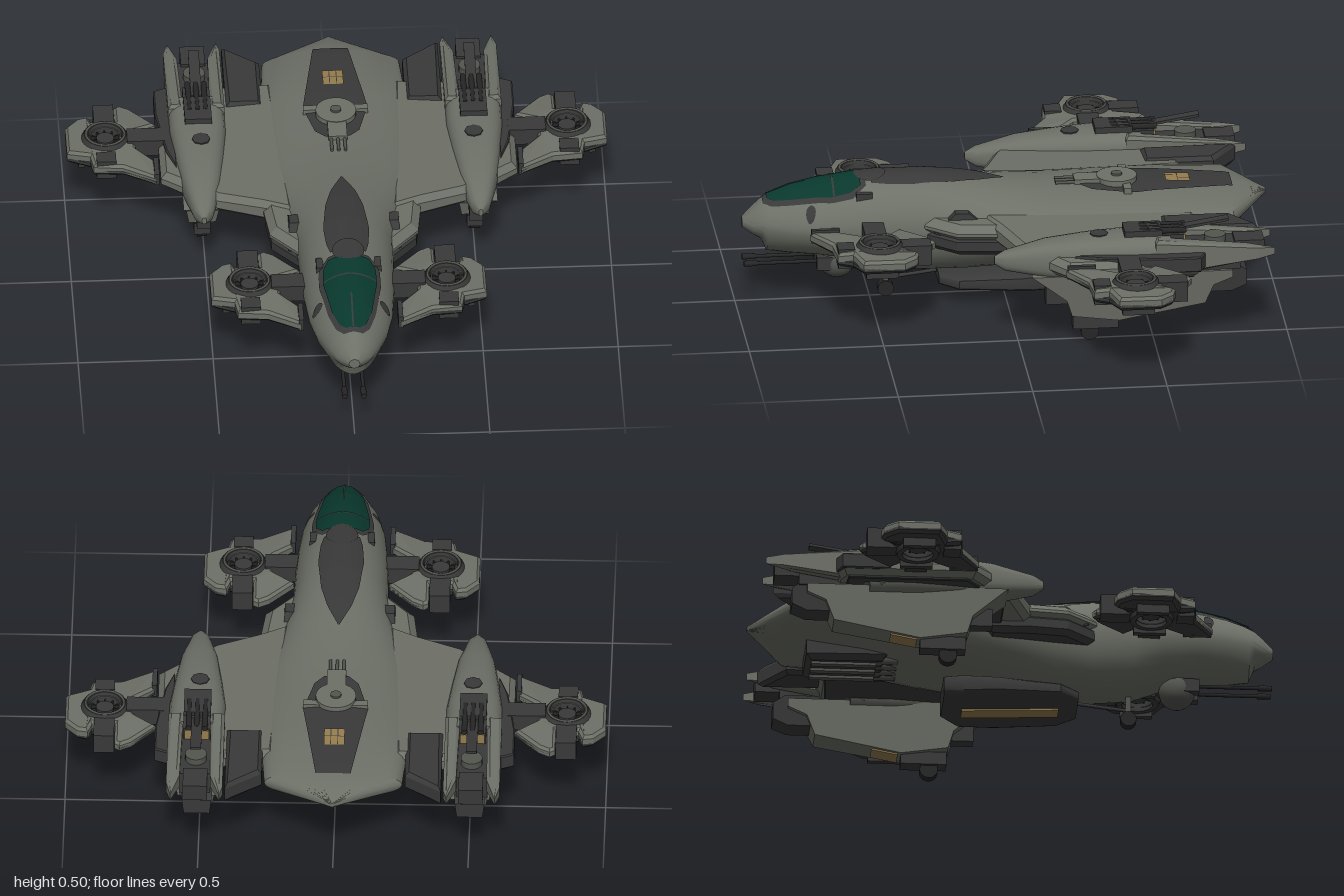
import * as THREE from 'three';
import { toCreasedNormals } from 'three/addons/utils/BufferGeometryUtils.js';

const paint = (name, color, side = THREE.FrontSide) => Object.assign(new THREE.MeshStandardMaterial({ color, side }), { name });

// hull cross-sections: z, half width, bottom, widest height, top, squareness
const HULL = [
  [0.975, 0.02, 0.295, 0.315, 0.335, 2], [0.94, 0.06, 0.27, 0.315, 0.37, 1.8], [0.905, 0.085, 0.25, 0.32, 0.402, 1.7],
  [0.885, 0.095, 0.2, 0.32, 0.412, 1.7], [0.8, 0.132, 0.19, 0.32, 0.444, 1.7], [0.7, 0.155, 0.18, 0.32, 0.466, 1.7],
  [0.56, 0.168, 0.16, 0.32, 0.484, 1.8], [0.45, 0.173, 0.12, 0.32, 0.487, 2], [0.3, 0.178, 0.11, 0.31, 0.485, 2.1],
  [0.15, 0.2, 0.11, 0.31, 0.468, 2], [0, 0.235, 0.12, 0.32, 0.445, 1.9], [-0.17, 0.265, 0.14, 0.33, 0.425, 1.9],
  [-0.35, 0.275, 0.18, 0.335, 0.42, 1.9], [-0.55, 0.275, 0.23, 0.34, 0.42, 1.9], [-0.83, 0.255, 0.28, 0.345, 0.405, 2],
  [-0.9, 0.13, 0.31, 0.35, 0.39, 2], [-0.975, 0.004, 0.345, 0.355, 0.365, 2]];

// row of a table (sorted by falling z) interpolated at z
function rowAt(table, z) {
  let i = 0;
  while (i < table.length - 2 && table[i + 1][0] > z) i++;
  const a = table[i], b = table[i + 1], t = THREE.MathUtils.clamp((a[0] - z) / (a[0] - b[0]), 0, 1);
  return a.map((v, k) => v + (b[k] - v) * t);
}

function meshOf(pos, idx) {
  const g = new THREE.BufferGeometry();
  g.setAttribute('position', new THREE.Float32BufferAttribute(pos, 3));
  g.setIndex(idx);
  g.computeVertexNormals();
  return g;
}

// closed body from superellipse sections
function loft(rows, cx = 0, seg = 40, crease = 0.6) {
  const pos = [], idx = [], spow = (v, n) => Math.sign(v) * Math.abs(v) ** (2 / n);
  rows.forEach(([z, w, bot, mid, top, n]) => {
    for (let j = 0; j < seg; j++) {
      const a = j / seg * Math.PI * 2, s = spow(Math.sin(a), n);
      pos.push(cx + w * spow(Math.cos(a), n), mid + s * (s > 0 ? top - mid : mid - bot), z);
    }
  });
  const last = rows.length - 1, f = pos.length / 3;
  pos.push(cx, rows[0][3], rows[0][0], cx, rows[last][3], rows[last][0]);
  for (let j = 0; j < seg; j++) {
    const k = (j + 1) % seg;
    for (let i = 0; i < last; i++) {
      const a = i * seg + j, b = i * seg + k, c = a + seg, d = b + seg;
      idx.push(a, c, b, b, c, d);
    }
    idx.push(f, j, k, f + 1, last * seg + k, last * seg + j);
  }
  return toCreasedNormals(meshOf(pos, idx), crease);
}

// thin skin lying on the hull top; outline rows: z, half width
function patch(outline, lift = 0.005, cx = 0) {
  const pos = [], idx = [], N = 28, M = 12, z0 = outline[0][0], z1 = outline[outline.length - 1][0];
  for (let i = 0; i <= N; i++) {
    const z = z0 + (z1 - z0) * i / N, hw = rowAt(outline, z)[1], [, w, , mid, top, n] = rowAt(HULL, z);
    for (let j = 0; j <= M; j++) {
      const x = cx + hw * (2 * j / M - 1), r = Math.min(1, Math.abs(x) / w);
      pos.push(x, mid + (top - mid) * (1 - r ** n) ** (1 / n) + lift, z);
      if (i < N && j < M) {
        const a = i * (M + 1) + j, c = a + M + 1;
        idx.push(a, a + 1, c, a + 1, c + 1, c);
      }
    }
  }
  return meshOf(pos, idx);
}

// plate from an x,z outline with bevelled edges
function slab(pts, y0, y1, b = 0.012, hole = null) {
  const s = new THREE.Shape(pts.map(([x, z]) => new THREE.Vector2(x, -z)));
  if (hole) s.holes.push(new THREE.Path().absarc(hole[0], -hole[1], hole[2], 0, Math.PI * 2, true));
  return new THREE.ExtrudeGeometry(s, { depth: y1 - y0 - 2 * b, bevelSize: b, bevelThickness: b, bevelOffset: -b, bevelSegments: 1, curveSegments: 12 })
    .rotateX(-Math.PI / 2).translate(0, y0 + b, 0);
}

// moves vertices by a rule and refreshes the normals
function bend(g, rule) {
  const p = g.attributes.position, v = new THREE.Vector3();
  for (let i = 0; i < p.count; i++) {
    rule(v.fromBufferAttribute(p, i));
    p.setXYZ(i, v.x, v.y, v.z);
  }
  g.computeVertexNormals();
  return g;
}

// plate from a z,y outline, centred on x, narrowing towards the bottom
function keel(pts, x, width, yTop, yBot, ratio) {
  const g = new THREE.ExtrudeGeometry(new THREE.Shape(pts.map(p => new THREE.Vector2(...p))), { depth: width, bevelEnabled: false })
    .rotateY(-Math.PI / 2).translate(width / 2, 0, 0);
  return bend(g, v => { v.x *= THREE.MathUtils.mapLinear(v.y, yTop, yBot, 1, ratio); }).translate(x, 0, 0);
}

const box = (x0, x1, y0, y1, z0, z1) => new THREE.BoxGeometry(x1 - x0, y1 - y0, z1 - z0).translate((x0 + x1) / 2, (y0 + y1) / 2, (z0 + z1) / 2);
const disc = (r, h, x, y, z, seg = 20) => new THREE.CylinderGeometry(r, r, h, seg).translate(x, y, z);
const wheel = (r, w, x, y, z) => new THREE.CylinderGeometry(r, r, w, 16).rotateZ(Math.PI / 2).translate(x, y, z);
const rodZ = (r, x, y, z0, z1) => new THREE.CylinderGeometry(r, r, Math.abs(z1 - z0), 10).rotateX(Math.PI / 2).translate(x, y, (z0 + z1) / 2);

function flip(geo) {
  const g = (geo.index ? geo.toNonIndexed() : geo.clone()).scale(-1, 1, 1), idx = [];
  for (let i = 0; i < g.attributes.position.count; i += 3) idx.push(i, i + 2, i + 1);
  g.setIndex(idx);
  return g;
}

export function createModel() {
  const hull = paint('hull grey', 0x6d7067), dark = paint('dark panel', 0x393939, THREE.DoubleSide), mid = paint('machinery grey', 0x53554f);
  const glass = paint('canopy green', 0x09382d, THREE.DoubleSide), tan = paint('vent tan', 0x957d4e, THREE.DoubleSide), black = paint('gun black', 0x262626);
  const model = new THREE.Group();
  const add = (name, geo, mat) => {
    const m = new THREE.Mesh(geo, mat);
    m.name = name;
    model.add(m);
  };
  const pair = (name, geo, mat) => { add(name + 'Left', geo, mat); add(name + 'Right', flip(geo), mat); };

  // fuselage and its skin panels
  add('fuselage', loft(HULL), hull);
  add('canopyFrame', patch([[0.9, 0.035], [0.87, 0.062], [0.8, 0.088], [0.65, 0.114], [0.57, 0.114], [0.52, 0.075]], 0.004), dark);
  add('canopyGlass', patch([[0.885, 0.025], [0.865, 0.048], [0.8, 0.074], [0.65, 0.1], [0.58, 0.098], [0.54, 0.075]], 0.009), glass);
  add('canopyRib', patch([[0.89, 0.003], [0.74, 0.003]], 0.012), dark);
  add('canopyBow', patch([[0.645, 0.1], [0.638, 0.1]], 0.012), dark);
  add('dorsalPanel', patch([[0.5, 0.066], [0.45, 0.078], [0.35, 0.085], [0.2, 0.07], [0.1, 0.045], [0, 0.002]]), dark);
  const round = (z, r) => Array.from({ length: 13 }, (_, i) => [z + r * Math.cos(i * Math.PI / 12), r * Math.sin(i * Math.PI / 12)]);
  add('dorsalHatch', patch(round(0.5, 0.06), 0.009), dark);
  add('deckPanel', patch([[-0.28, 0.045], [-0.32, 0.082], [-0.47, 0.12], [-0.845, 0.065]]), dark);
  add('deckVent', patch([[-0.6, 0.038], [-0.69, 0.038]], 0.009), tan);
  for (const x of [-0.013, 0.013]) add('deckVentBar', patch([[-0.6, 0.0015], [-0.69, 0.0015]], 0.011, x), dark);
  add('deckVentCrossbar', patch([[-0.643, 0.038], [-0.646, 0.038]], 0.011), dark);
  pair('cheekHatch', patch(round(0.73, 0.018), 0.006, 0.125), dark);
  pair('canopySill', box(0.095, 0.12, 0.4, 0.452, 0.5, 0.56), dark);

  // deck turret
  add('deckTurret', disc(0.075, 0.035, 0, 0.425, -0.42, 24), hull);
  add('deckTurretCap', disc(0.02, 0.01, 0, 0.445, -0.42), mid);
  pair('deckTurretArm', box(0.06, 0.12, 0.4, 0.432, -0.465, -0.435), hull);
  add('deckTurretMantle', box(-0.035, 0.035, 0.41, 0.44, -0.36, -0.26), hull);
  for (const x of [-0.025, 0, 0.025]) add('deckTurretBarrel', rodZ(0.006, x, 0.428, -0.27, -0.19), mid);

  // nose gun
  add('noseGunBall', new THREE.SphereGeometry(0.068, 20, 14).translate(0, 0.15, 0.62), mid);
  pair('noseGunMount', box(0.02, 0.06, 0.13, 0.18, 0.6, 0.7), dark);
  pair('noseGunBarrel', rodZ(0.007, 0.035, 0.16, 0.66, 0.94), black);
  pair('noseGunMuzzle', rodZ(0.011, 0.035, 0.16, 0.92, 0.97), black);

  // shoulders with intakes
  pair('shoulder', slab([[0.13, 0.34], [0.18, 0.31], [0.275, 0.2], [0.29, 0.07], [0.3, -0.1], [0.13, -0.1]], 0.3, 0.368, 0.028), hull);
  pair('shoulderIntake', slab([[0.13, 0.33], [0.18, 0.3], [0.268, 0.2], [0.284, 0.06], [0.28, -0.1], [0.13, -0.1]], 0.25, 0.325, 0.02), dark);
  pair('intakeWedge', keel([[0.28, 0.32], [0.2, 0.392], [0.15, 0.392], [0.03, 0.3], [0.2, 0.29]], 0.185, 0.05, 0.3, 0.4, 0.7), dark);

  // wings sloping down outwards, rear flaps and outer strips
  pair('wing', bend(slab([[0.18, 0.1], [0.3, 0.05], [0.46, -0.01], [0.66, -0.17], [0.66, -0.66], [0.6, -0.69], [0.42, -0.69], [0.22, -0.69]], 0.29, 0.368, 0.022),
    v => { if (v.y > 0.34) v.y += (0.45 - v.x) * 0.05; }), hull);
  pair('wingUnderside', slab([[0.24, -0.05], [0.46, -0.05], [0.64, -0.2], [0.64, -0.64], [0.24, -0.67]], 0.281, 0.295, 0.004), dark);
  pair('rearFlap', slab([[0.265, -0.55], [0.4, -0.55], [0.4, -0.905], [0.265, -0.81]], 0.305, 0.385, 0.015), dark);
  pair('outerStrip', slab([[0.6, -0.692], [0.665, -0.665], [0.665, -0.52], [0.635, -0.3], [0.6, -0.2]], 0.31, 0.37, 0.005), dark);

  // belly pod, rear engine box
  add('bellyPod', loft([[0.25, 0.09, 0.065, 0.085, 0.105, 5], [0.18, 0.15, 0.055, 0.085, 0.115, 4], [-0.05, 0.17, 0.045, 0.085, 0.13, 4],
    [-0.18, 0.16, 0.04, 0.085, 0.14, 4], [-0.25, 0.11, 0.06, 0.1, 0.15, 4]], 0, 24), dark);
  add('bellyVent', box(-0.032, 0.032, -0.004, 0.004, -0.18, 0.18).rotateX(-0.04).translate(0, 0.045, 0), tan);
  add('engineBox', slab([[-0.11, -0.46], [0.11, -0.46], [0.1, -0.76], [-0.1, -0.76]], 0.2, 0.31, 0.02), dark);
  for (const x of [-0.06, 0, 0.06]) add('engineBoxRib', box(x - 0.012, x + 0.012, 0.19, 0.205, -0.74, -0.5), mid);
  for (let i = 0; i < 4; i++) add('engineTube', rodZ(0.02, -0.069 + i * 0.046, 0.215, -0.5, -0.42), mid);

  // nose landing gear
  add('noseStrut', box(-0.01, 0.01, 0.03, 0.14, 0.43, 0.45), mid);
  add('noseWheel', wheel(0.03, 0.035, 0, 0.03, 0.44), black);
  add('noseGearBrace', rodZ(0.007, 0, 0, -0.09, 0.09).rotateX(0.12).translate(0, 0.08, 0.34), dark);

  // nacelles with prongs thinning towards the tail
  const thin = v => { v.y = THREE.MathUtils.lerp(v.y, 0.362, THREE.MathUtils.clamp((-0.55 - v.z) / 0.5, 0, 0.8)); };
  pair('nacelle', loft([[0.09, 0.008, 0.315, 0.33, 0.345, 2.5], [0.05, 0.035, 0.29, 0.33, 0.365, 2.5], [-0.1, 0.07, 0.265, 0.33, 0.4, 3],
    [-0.25, 0.09, 0.255, 0.33, 0.415, 3], [-0.4, 0.105, 0.25, 0.33, 0.42, 3.5], [-0.56, 0.105, 0.25, 0.33, 0.42, 3.5]], 0.512, 24, 0.5), hull);
  pair('innerProng', bend(slab([[0.408, -0.5], [0.462, -0.5], [0.455, -0.84], [0.42, -0.945], [0.408, -0.9]], 0.27, 0.42, 0.012), thin), hull);
  pair('outerProng', bend(slab([[0.617, -0.5], [0.562, -0.5], [0.568, -0.84], [0.6, -0.945], [0.617, -0.88]], 0.27, 0.42, 0.012), thin), hull);
  pair('nacelleCore', box(0.455, 0.57, 0.28, 0.375, -0.82, -0.54), dark);
  pair('nacelleExhaust', box(0.465, 0.555, 0.32, 0.385, -0.91, -0.8), dark);
  pair('nacelleBlade', keel([[-0.55, 0.43], [-0.78, 0.466], [-0.78, 0.456], [-0.55, 0.42]], 0.51, 0.04, 0.47, 0.42, 1), dark);
  pair('nacelleRotor', disc(0.04, 0.05, 0.51, 0.375, -0.73), mid);
  pair('nacelleGunBlock', box(0.46, 0.56, 0.38, 0.44, -0.53, -0.39), dark);
  pair('nacelleGunBase', box(0.46, 0.56, 0.37, 0.422, -0.61, -0.53), dark);
  pair('nacelleVent', box(0.465, 0.555, 0.378, 0.418, -0.616, -0.61), tan);
  for (const x of [0.48, 0.51, 0.54]) pair('nacelleBarrel', rodZ(0.011, x, 0.432, -0.62, -0.45), black);
  pair('nacelleHatch', disc(0.034, 0.016, 0.505, 0.412, -0.3, 8), dark);

  // keels and main landing gear
  pair('keel', keel([[-0.045, 0.28], [-0.175, 0.175], [-0.195, 0.11], [-0.37, 0.085], [-0.69, 0.145], [-0.72, 0.22], [-0.79, 0.25], [-0.79, 0.28]], 0.505, 0.15, 0.27, 0.1, 0.65), hull);
  pair('keelTail', keel([[-0.66, 0.3], [-0.68, 0.185], [-0.79, 0.185], [-0.845, 0.21], [-0.845, 0.27], [-0.8, 0.3]], 0.505, 0.11, 0.27, 0.18, 0.8), dark);
  pair('keelSlot', box(0.48, 0.53, 0.15, 0.22, -0.2, -0.1), dark);
  pair('keelVent', box(-0.035, 0.035, -0.004, 0.004, -0.05, 0.05).rotateX(0.185).translate(0.505, 0.094, -0.43), tan);
  pair('gearDoor', box(0.475, 0.535, 0.05, 0.1, -0.37, -0.2), dark);
  pair('mainWheel', wheel(0.034, 0.035, 0.505, 0.034, -0.265), black);

  // lift fans: u runs outward, v runs forward from the fan centre
  for (const [place, cx, cy, cz] of [['front', 0.365, 0.315, 0.5], ['rear', 0.855, 0.33, -0.4]]) {
    const at = pts => pts.map(([u, v]) => [cx + u, cz + v]);
    const blk = (u0, u1, h0, h1, v0, v1) => box(cx + u0, cx + u1, cy + h0, cy + h1, cz + v0, cz + v1);
    const body = at([[0.06, -0.14], [0.1, -0.13], [0.145, -0.08], [0.145, 0.075], [0.06, 0.105], [0.05, 0.16], [-0.06, 0.17],
      [-0.18, 0.24], [-0.18, 0.13], [-0.11, 0.06], [-0.11, -0.04], [-0.19, -0.09], [-0.1, -0.19], [-0.06, -0.213], [-0.04, -0.2], [-0.04, -0.1], [0.045, -0.1]]);
    // fairing falls away towards its outer rim
    const droop = v => { v.y -= Math.sign(v.y - cy) * Math.min(0.016, Math.max(0, Math.hypot(v.x - cx, v.z - cz) - 0.09) * 0.16); };
    pair(place + 'FanFairing', bend(slab(body, cy - 0.006, cy + 0.036, 0.01, [cx, cz, 0.065]), droop), hull);
    pair(place + 'FanUnderside', bend(slab(body, cy - 0.036, cy - 0.004, 0.01, [cx, cz, 0.065]), droop), dark);
    pair(place + 'FanRearBlock', blk(-0.038, 0.038, -0.04, 0.038, -0.19, -0.08), dark);
    pair(place + 'FanFrontBlock', blk(-0.034, 0.038, -0.04, 0.036, 0.095, 0.158), dark);
    pair(place + 'FanArm', blk(-0.22, -0.08, -0.025, 0.042, -0.035, 0.045), dark);
    pair(place + 'FanRootEdge', blk(-0.19, -0.172, -0.02, 0.03, 0.13, 0.235), dark);
    const ring = [[0.057, -0.05], [0.078, -0.05], [0.088, -0.02], [0.088, 0.03], [0.078, 0.048], [0.063, 0.048], [0.057, 0.03], [0.057, -0.05]];
    pair(place + 'FanDuct', toCreasedNormals(new THREE.LatheGeometry(ring.map(p => new THREE.Vector2(...p)), 28), 0.5).translate(cx, cy, cz), dark);
    pair(place + 'FanRim', new THREE.TorusGeometry(0.071, 0.005, 6, 28).rotateX(Math.PI / 2).translate(cx, cy + 0.048, cz), mid);
    pair(place + 'FanHub', disc(0.033, 0.06, cx, cy, cz), dark);
    for (let i = 0; i < 12; i++)
      pair(place + 'FanBlade', new THREE.BoxGeometry(0.03, 0.04, 0.005).translate(0.045, 0, 0).rotateY(i * Math.PI / 6).translate(cx, cy, cz), black);
    for (const u of [-0.09, 0.09]) pair(place + 'FanVane', blk(u - 0.012, u + 0.012, -0.06, -0.02, -0.06, 0.06), dark);
  }
  return model;
}
